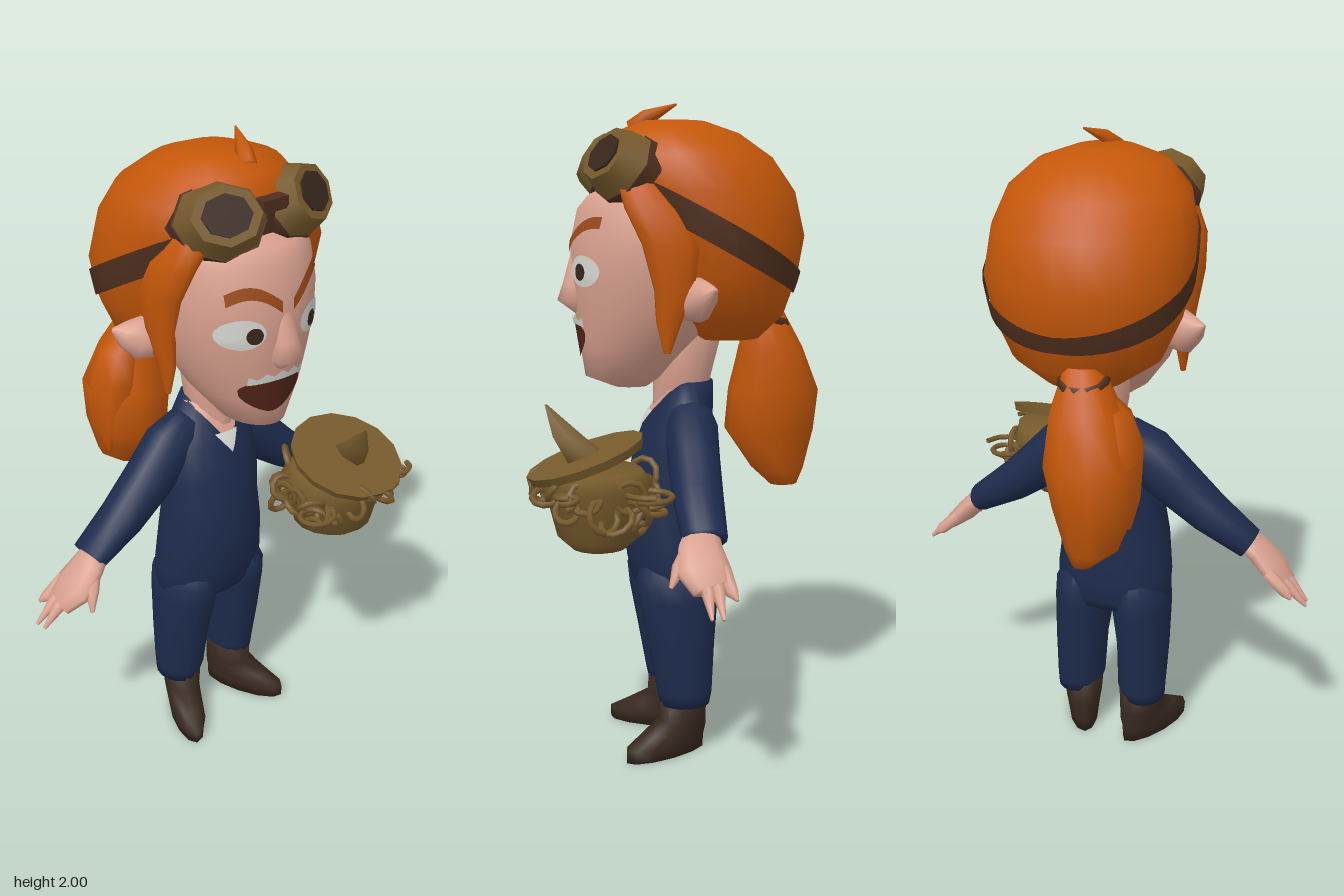
import * as THREE from 'three';

const V = (x, y, z) => new THREE.Vector3(x, y, z);
const paint = (name, color, side = THREE.FrontSide) => {
  const m = new THREE.MeshStandardMaterial({ color, side });
  m.name = name;
  return m;
};

// Skin over elliptical rings [x, y, z, radius, depth radius]; flat keeps rings level
function loft(rings, sides = 14, flat = false) {
  const pos = [], idx = [], n = rings.length, c = rings.map(r => V(r[0], r[1], r[2]));
  rings.forEach((r, i) => {
    const t = flat ? V(0, 1, 0)
      : c[Math.min(i + 1, n - 1)].clone().sub(c[Math.max(i - 1, 0)]).normalize();
    const u = V(0, 0, 1).cross(t).normalize(), v = t.clone().cross(u);
    for (let k = 0; k < sides; k++) {
      const a = k / sides * Math.PI * 2;
      const p = c[i].clone().addScaledVector(u, Math.cos(a) * r[3]).addScaledVector(v, Math.sin(a) * r[4]);
      pos.push(p.x, p.y, p.z);
    }
  });
  const end = n * sides, last = end - sides;
  pos.push(...c[0].toArray(), ...c[n - 1].toArray());
  for (let k = 0; k < sides; k++) {
    const l = (k + 1) % sides;
    for (let i = 0; i < n - 1; i++) {
      const a = i * sides + k, b = i * sides + l;
      idx.push(a, b, a + sides, b, b + sides, a + sides);
    }
    idx.push(end, l, k, end + 1, last + k, last + l);
  }
  const g = new THREE.BufferGeometry();
  g.setAttribute('position', new THREE.Float32BufferAttribute(pos, 3));
  g.setIndex(idx);
  g.computeVertexNormals();
  return g;
}

// Ring of a level loft at any height
function ringAt(rings, y) {
  let i = 0;
  while (i < rings.length - 2 && y > rings[i + 1][1]) i++;
  const a = rings[i], b = rings[i + 1], t = THREE.MathUtils.clamp((y - a[1]) / (b[1] - a[1]), 0, 1);
  return a.map((q, k) => q + (b[k] - q) * t);
}

// Thin sheet on the front of a level loft; fn maps (u, v) to (x, y)
function patch(rings, fn, lift = 0.005, nu = 24, nv = 4) {
  const g = new THREE.PlaneGeometry(1, 1, nu, nv), p = g.attributes.position;
  for (let i = 0; i < p.count; i++) {
    const [x, y] = fn(p.getX(i) + 0.5, p.getY(i) + 0.5), r = ringAt(rings, y);
    const s = Math.min(1, Math.abs((x - r[0]) / r[3]));
    p.setXYZ(i, x, y, r[2] + r[4] * Math.sqrt(1 - s * s) + lift);
  }
  g.computeVertexNormals();
  return g;
}
const disc = (x, y, rx, up, down = up, pinch = 0) => (u, v) => {
  const s = Math.sin(-u * Math.PI * 2), c = Math.cos(u * Math.PI * 2);
  return [x + c * v * rx * (s < 0 ? 1 - pinch * s * s : 1), y + s * v * (s > 0 ? up : down)];
};

export function createModel() {
  const root = new THREE.Group();
  const skin = paint('skin', 0xd8a08e), hair = paint('orange hair', 0xc4570a);
  const navy = paint('navy cloth', 0x1d2b4c, THREE.DoubleSide), boot = paint('boot brown', 0x38291f);
  const brass = paint('brass', 0x765a2c, THREE.DoubleSide), strapMat = paint('strap brown', 0x4e2f1e, THREE.DoubleSide);
  const white = paint('off white', 0xd6d6d2), dark = paint('dark lens', 0x38261c);
  const brow = paint('eyebrow', 0x984a1a), mouthMat = paint('mouth red', 0x52241a);
  const add = (name, geo, mat, parent = root) => {
    const m = new THREE.Mesh(geo, mat);
    m.name = name;
    parent.add(m);
    return m;
  };

  // Body
  const torso = [[-.01, .51, 0, .165, .11], [-.01, .545, .003, .188, .13], [-.01, .62, .01, .19, .14],
    [-.01, .75, .02, .175, .145], [-.005, .85, .015, .165, .13], [0, .95, .01, .165, .12],
    [.01, 1.05, -.01, .155, .105], [.02, 1.12, -.03, .13, .085], [.025, 1.18, -.045, .085, .07]];
  add('torso', loft(torso, 20, true), navy);
  add('neck', loft([[.02, 1.06, -.01, .05, .08], [.02, 1.12, -.015, .062, .085], [.025, 1.2, -.02, .085, .09],
    [.03, 1.4, -.04, .1, .12]], 14, true), skin);
  add('openCollar', patch(torso, (u, v) => [.015 + (u - .5) * .165 * v, 1.045 + v * .13], .006, 8, 6), skin);
  add('undershirt', patch(torso, (u, v) => [.008 + (u - .5) * .085 * v, 1.03 + v * .06], .009, 8, 4), white);

  // Limbs, mirrored
  for (const s of [-1, 1]) {
    const x = s < 0 ? -.115 : .102;
    add('leg', loft([[x + s * .01, .16, -.015, .066, .078], [x, .2, -.015, .078, .088], [x, .35, -.005, .084, .105],
      [x - s * .01, .5, .003, .095, .126], [x - s * .01, .57, .006, .09, .13], [x - s * .02, .66, .01, .05, .09]], 16, true), navy);
    const foot = add('boot', loft([[0, 0, .055, .05, .145], [0, .04, .055, .056, .145], [0, .075, .02, .058, .115],
      [0, .11, -.01, .06, .08], [0, .2, -.012, .068, .078]], 12, true), boot);
    foot.position.x = x;
    foot.rotation.y = s * .42;
    add('sleeve', loft([[s * .05, 1.09, -.03, .07, .07], [s * .13, 1.04, -.03, .09, .08], [s * .22, .96, -.02, .08, .078],
      [s * .33, .87, -.012, .066, .074], [s * .46, .785, -.005, .045, .066]], 14), navy);
    add('palm', loft([[s * .42, .81, -.005, .03, .045], [s * .48, .765, .012, .034, .065], [s * .53, .715, .012, .034, .078],
      [s * .575, .675, -.005, .024, .062]], 10), skin);
    for (const [tx, ty, z0, z1] of [[.61, .65, -.045, -.066], [.65, .61, -.015, -.02], [.645, .61, .012, .012]])
      add('finger', loft([[s * .53, .715, z0, .022, .022], [s * .59, .665, (z0 + z1) / 2, .019, .019],
        [s * tx, ty, z1, .005, .005]], 7), skin);
    add('thumb', loft([[s * .47, .775, .03, .022, .028], [s * .51, .72, .078, .02, .022], [s * .53, .67, .105, .006, .006]], 7), skin);
  }

  // Head
  const face = [[.03, 1.165, .14, .035, .05], [.03, 1.2, .16, .09, .12], [.028, 1.3, .12, .165, .175],
    [.025, 1.4, .08, .21, .23], [.024, 1.5, .07, .24, .25], [.024, 1.6, .06, .245, .26],
    [.024, 1.7, .05, .235, .248], [.024, 1.74, .04, .215, .225], [.024, 1.79, 0, .17, .17]];
  add('face', loft(face, 36, true), skin);
  add('nose', loft([[.026, 1.39, .29, .025, .018], [.028, 1.43, .315, .052, .047],
    [.027, 1.48, .31, .042, .035], [.024, 1.57, .305, .025, .014]], 12, true), skin);
  for (const s of [-1, 1]) {
    add('ear', loft([[.024 + s * .2, 1.43, .01, .05, .05], [.024 + s * .26, 1.445, -.02, .068, .05],
      [.024 + s * .3, 1.46, -.04, .04, .032], [.024 + s * .33, 1.475, -.055, .006, .008]], 10), skin);
    // Sideburns, fuller on the model's left
    const o = s > 0 ? .022 : 0;
    add('sideburn', loft([[.024 + s * (.23 + o), 1.29, .07, .008, .01], [.024 + s * (.23 + o), 1.38, .065, .022, .038],
      [.024 + s * (.236 + o), 1.47, .05, .032, .06], [.024 + s * (.245 + o * .5), 1.6, .06, .043, .085],
      [.024 + s * .23, 1.7, .1, .048, .09], [.024 + s * .17, 1.81, .14, .055, .075]], 10, true), hair);
    // Eyes and brows
    const ex = s < 0 ? -.108 : .132;
    add('eyeWhite', patch(face, disc(ex, 1.52, .06, .046)), white);
    add('pupil', patch(face, disc(ex + (s < 0 ? .028 : -.005), 1.517, .022, .025), .009), dark);
    add('eyebrow', patch(face, (u, v) => {
      const w = s < 0 ? 1 - u : u;
      return [.02 + s * (w * .145 + .02), 1.59 + Math.sin(w * (s < 0 ? 2.5 : 1.7)) * (s < 0 ? .05 : .07) + (v - .5) * .034];
    }, .006, 10, 2), brow);
  }
  add('mouth', patch(face, disc(.002, 1.335, .1, .035, .082, .4)), mouthMat);
  add('teeth', patch(face, (u, v) => [.012 + (u - .5) * .19,
    1.354 + Math.sin(u * Math.PI) * .008 + v * (.022 + .007 * Math.cos(u * 25))], .009, 16, 2), white);

  // Hair
  const mane = [[.024, 1.31, -.15, .12, .11], [.024, 1.38, -.13, .225, .2], [.024, 1.5, -.13, .28, .24],
    [.024, 1.62, -.12, .307, .27], [.024, 1.75, -.07, .298, .29], [.024, 1.85, -.03, .265, .26],
    [.024, 1.92, 0, .19, .19], [.024, 1.955, .01, .09, .1]];
  add('hair', loft(mane, 24, true), hair);
  add('tuft', loft([[.03, 1.93, .13, .03, .03], [.05, 1.965, .09, .02, .025], [.09, 2, .01, .003, .003]], 6), hair);
  add('ponytail', loft([[-.06, .82, -.37, .035, .045], [-.08, .87, -.355, .08, .085], [-.08, 1, -.325, .125, .145],
    [-.07, 1.13, -.335, .14, .145], [-.05, 1.27, -.32, .11, .1], [-.03, 1.4, -.29, .055, .055]], 10, true), hair);
  add('ponytailLock', loft([[-.17, .92, -.3, .01, .01], [-.155, 1.02, -.31, .055, .075], [-.135, 1.17, -.31, .085, .095],
    [-.11, 1.27, -.3, .07, .07], [-.05, 1.35, -.29, .03, .03]], 8, true), hair);
  const tie = add('hairTie', new THREE.TorusGeometry(.06, .018, 6, 12), strapMat);
  tie.position.set(-.035, 1.36, -.3);
  tie.rotation.x = 1.3;

  // Goggle strap, dropping toward the back of the head and broader at the sides
  const strap = new THREE.PlaneGeometry(1, 1, 48, 2), sp = strap.attributes.position;
  for (let i = 0; i < sp.count; i++) {
    const a = (sp.getX(i) + .5) * Math.PI * 2, off = sp.getY(i) * (.062 + .025 * Math.abs(Math.cos(a)));
    let y = 1.65, r;
    for (let k = 0; k < 20; k++) {
      r = ringAt(mane, y + off);
      y += (1.675 + .56 * (r[2] + r[4] * Math.sin(a)) - y) * .5;
    }
    sp.setXYZ(i, r[0] + Math.cos(a) * (r[3] + .008), y + off, r[2] + Math.sin(a) * (r[4] + .008));
  }
  strap.computeVertexNormals();
  add('goggleStrap', strap, strapMat);

  // Goggles
  for (const s of [-1, 1]) {
    const cup = new THREE.Group();
    cup.name = 'goggleCup';
    root.add(cup);
    cup.position.set(.028 + s * .138, 1.83, .195);
    cup.lookAt(cup.position.clone().add(V(s * .42, .6, 1)));
    cup.scale.set(1.12, .92, 1);
    const barrel = (name, r0, r1, d, z, mat) => {
      const m = add(name, new THREE.CylinderGeometry(r1, r0, d, 8), mat, cup);
      m.rotation.x = Math.PI / 2;
      m.position.z = z;
    };
    barrel('gogglePad', .128, .122, .045, -.042, strapMat);
    barrel('goggleBarrel', .118, .09, .07, .015, brass);
    barrel('lens', .064, .064, .008, .052, dark);
  }
  const bridge = add('goggleBridge', new THREE.BoxGeometry(.09, .035, .04), strapMat);
  bridge.position.set(.028, 1.855, .235);

  // Brass contraption: bowl, tilted lid with a fin, and wire curls
  const pot = new THREE.Group();
  pot.name = 'contraption';
  root.add(pot);
  add('bowl', loft([[.3, .735, .275, .08, .08], [.29, .77, .275, .13, .12], [.285, .85, .275, .15, .14],
    [.285, .92, .28, .175, .165], [.295, .965, .29, .15, .14]], 16, true), brass, pot);
  const lid = add('lid', new THREE.CylinderGeometry(.178, .17, .025, 14), brass, pot);
  lid.position.set(.297, .995, .31);
  lid.rotation.x = .34;
  add('fin', loft([[.31, .99, .3, .03, .075], [.29, 1.06, .36, .018, .05], [.262, 1.15, .42, .003, .004]], 6, true), brass, pot);
  let seed = 7;
  const rnd = () => (seed = seed * 16807 % 2147483647) / 2147483647;
  for (let i = 0; i < 24; i++) {
    const a = i / 24 * Math.PI * 2 + rnd() * .2;
    const loop = add('wireLoop', new THREE.TorusGeometry(.028 + rnd() * .022, .01, 5, 10), brass, pot);
    loop.position.set(.28 + Math.cos(a) * .175, .83 + rnd() * .11, .28 + Math.sin(a) * .155);
    loop.rotation.set(rnd() * 3, rnd() * 3, rnd() * 3);
  }
  for (const [x, y, z, r] of [[.43, .92, .14, .078], [.11, .9, .38, .06], [.47, .93, .38, .035]]) {
    const pts = [];
    for (let k = 0; k <= 20; k++) {
      const a = k * .65, q = r * (1 - k / 28);
      pts.push(V(x + Math.cos(a) * q, y - k * .002, z + Math.sin(a) * q));
    }
    add('spiralSpring', new THREE.TubeGeometry(new THREE.CatmullRomCurve3(pts), 40, .009, 5), brass, pot);
  }
  return root;
}
